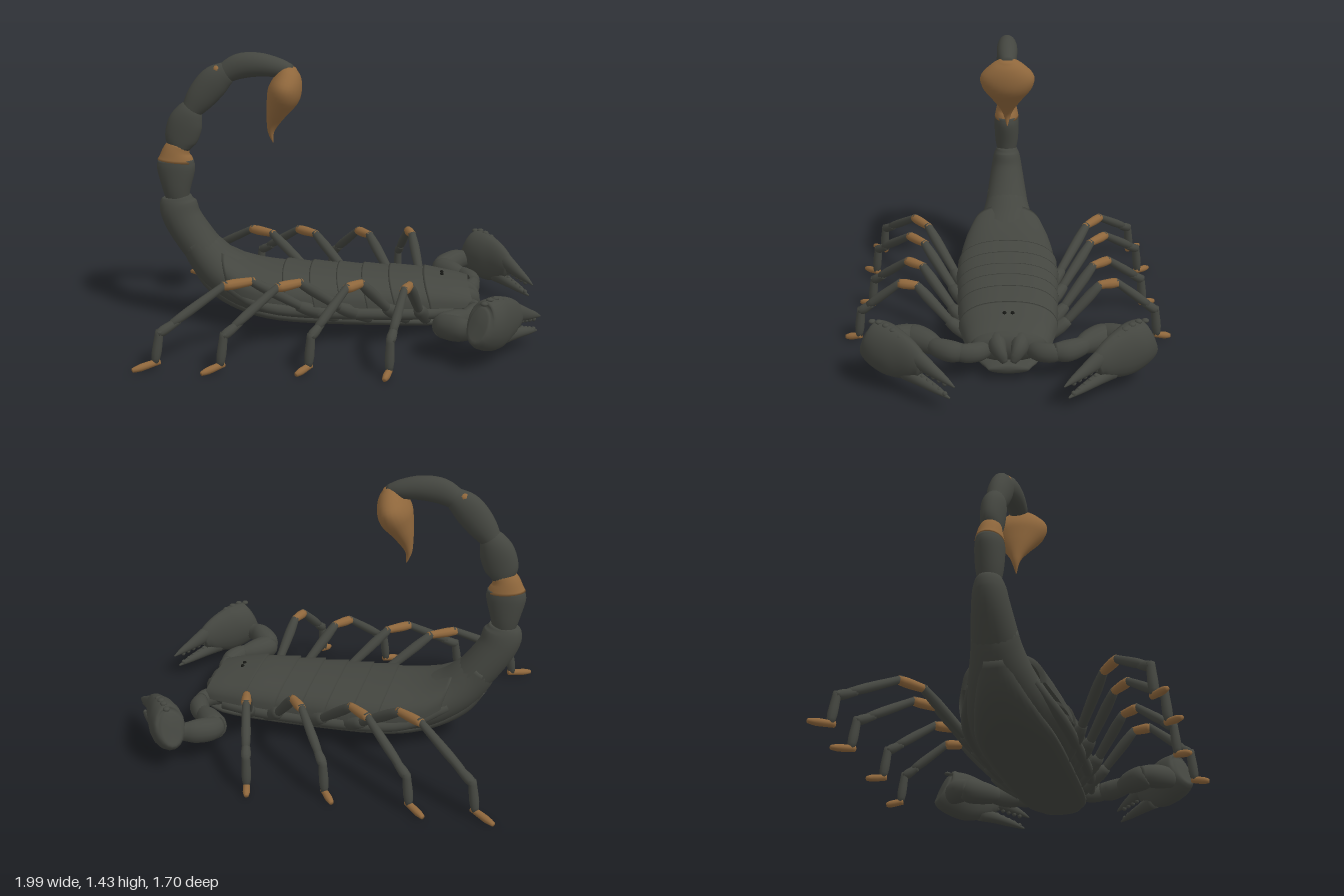
import * as THREE from 'three';

const dark = new THREE.MeshStandardMaterial({ color: 0x444640, side: THREE.DoubleSide });
dark.name = 'dark shell';
const amber = new THREE.MeshStandardMaterial({ color: 0x8f673c });
amber.name = 'amber joints';
const black = new THREE.MeshStandardMaterial({ color: 0x161714 });
black.name = 'black eyes';

const Z = new THREE.Vector3(0, 0, 1);
const UP = new THREE.Vector3(0, 1, 0);

function add(parent, name, geometry, material) {
  const mesh = new THREE.Mesh(geometry, material);
  mesh.name = name;
  parent.add(mesh);
  return mesh;
}

// Closed tube through stations [x, y, z, sideRadius, uprightRadius].
// side fixes the sideways axis; without it the axis stays horizontal.
function loft(stations, { side = null, sides = 14, sub = 4 } = {}) {
  const path = new THREE.CatmullRomCurve3(stations.map(s => new THREE.Vector3(s[0], s[1], s[2])), false, 'catmullrom', 0.5);
  const radii = new THREE.CatmullRomCurve3(stations.map(s => new THREE.Vector3(s[3], s[4], 0)), false, 'catmullrom', 0.5);
  const rings = (stations.length - 1) * sub;
  const pos = [], index = [];
  for (let i = 0; i <= rings; i++) {
    const p = path.getPoint(i / rings), r = radii.getPoint(i / rings), T = path.getTangent(i / rings);
    const S = side ? side.clone() : T.clone().cross(UP).normalize();
    const N = T.clone().cross(S).normalize();
    for (let j = 0; j < sides; j++) {
      const a = j / sides * Math.PI * 2;
      const q = p.clone().addScaledVector(S, r.x * Math.cos(a)).addScaledVector(N, r.y * Math.sin(a));
      pos.push(q.x, q.y, q.z);
      if (i < rings) {
        const k = i * sides + j, n = i * sides + (j + 1) % sides;
        index.push(k, n, n + sides, k, n + sides, k + sides);
      }
    }
  }
  const first = pos.length / 3, last = rings * sides;
  pos.push(...path.getPoint(0).toArray(), ...path.getPoint(1).toArray());
  for (let j = 0; j < sides; j++) {
    const n = (j + 1) % sides;
    index.push(first, n, j, first + 1, last + j, last + n);
  }
  const g = new THREE.BufferGeometry();
  g.setAttribute('position', new THREE.Float32BufferAttribute(pos, 3));
  g.setIndex(index);
  g.computeVertexNormals();
  return g;
}

// Loft in the middle plane from [x, y, sideRadius, uprightRadius]
const midLoft = (rows, sides = 20) => loft(rows.map(([x, y, w, h]) => [x, y, 0, w, h]), { side: Z, sides });

// Back outline: [x, edge height, half width, rise]
const BACK = [[0.66, 0.16, 0.19, 0.085], [0.6, 0.16, 0.21, 0.1], [0.42, 0.165, 0.24, 0.12], [0, 0.165, 0.26, 0.128],
  [-0.2, 0.17, 0.268, 0.13], [-0.42, 0.18, 0.255, 0.135], [-0.55, 0.21, 0.225, 0.14], [-0.68, 0.29, 0.155, 0.135]];
function backAt(x) {
  let i = 0;
  while (i < BACK.length - 2 && x < BACK[i + 1][0]) i++;
  const a = BACK[i], b = BACK[i + 1], t = (x - a[0]) / (b[0] - a[0]);
  return a.map((v, k) => v + (b[k] - v) * t);
}

// Arched back plate whose raised rear lip overlaps the next plate
function backPlate(x0, x1, bow0) {
  const nu = 20, rows = [0, 0.25, 0.5, 0.75, 0.95, 1, 1], pos = [], index = [];
  rows.forEach((t, i) => {
    const [, edge, w, h] = backAt(x0 + (x1 - x0) * t);
    const lift = i === rows.length - 1 ? -0.012 : 0.001 + 0.011 * t;
    for (let j = 0; j <= nu; j++) {
      const a = j / nu * Math.PI, c = Math.cos(a), s = Math.max(0, Math.sin(a));
      const x = x0 + (x1 - x0) * t - (bow0 + (0.04 - bow0) * t) * s;
      pos.push(x, edge + (h + lift) * Math.pow(s, 0.8), (w + lift) * Math.sign(c) * Math.pow(Math.abs(c), 0.85));
      if (i < rows.length - 1 && j < nu) {
        const k = i * (nu + 1) + j;
        index.push(k, k + 1, k + nu + 2, k, k + nu + 2, k + nu + 1);
      }
    }
  });
  const g = new THREE.BufferGeometry();
  g.setAttribute('position', new THREE.Float32BufferAttribute(pos, 3));
  g.setIndex(index);
  g.computeVertexNormals();
  return g;
}

function ball(parent, name, material, x, y, z, rx, ry = rx, rz = rx) {
  const m = add(parent, name, new THREE.SphereGeometry(1, 12, 8), material);
  m.position.set(x, y, z);
  m.scale.set(rx, ry, rz);
}

function makeBody() {
  const g = new THREE.Group();
  g.name = 'body';
  add(g, 'trunk', midLoft([[0.62, 0.15, 0.17, 0.07], [0.4, 0.15, 0.22, 0.105], [0, 0.155, 0.245, 0.11], [-0.3, 0.165, 0.245, 0.118],
    [-0.5, 0.195, 0.215, 0.125], [-0.65, 0.27, 0.165, 0.12], [-0.75, 0.37, 0.125, 0.108], [-0.8, 0.44, 0.11, 0.09]], 28), dark);
  add(g, 'belly', midLoft([[0.67, 0.06, 0.1, 0.022], [0.5, 0.062, 0.17, 0.04], [0, 0.07, 0.195, 0.053], [-0.35, 0.085, 0.195, 0.054],
    [-0.55, 0.13, 0.16, 0.06], [-0.7, 0.21, 0.11, 0.06], [-0.79, 0.32, 0.07, 0.05]], 28), dark);
  const ends = [0.655, 0.43, 0.25, 0.11, -0.02, -0.16, -0.3, -0.62];
  for (let i = 0; i < ends.length - 1; i++)
    add(g, i ? 'backPlate' : 'headShield', backPlate(ends[i] + (i ? 0.015 : 0), ends[i + 1], i ? 0.04 : 0.03), dark);
  for (const s of [1, -1]) {
    // Soft side fold, mouth pincer and eye
    add(g, 'sideFold', loft([[0.55, 0.125, s * 0.19, 0.02, 0.025], [0.3, 0.125, s * 0.225, 0.03, 0.03], [-0.2, 0.13, s * 0.24, 0.03, 0.03],
      [-0.45, 0.16, s * 0.22, 0.03, 0.03], [-0.65, 0.25, s * 0.15, 0.02, 0.025]]), dark);
    add(g, 'mouthPincer', loft([[0.55, 0.17, s * 0.06, 0.045, 0.05], [0.62, 0.165, s * 0.055, 0.045, 0.055],
      [0.66, 0.14, s * 0.04, 0.03, 0.04], [0.675, 0.1, s * 0.02, 0.012, 0.015]]), dark);
    ball(g, 'eye', black, 0.49, 0.278, s * 0.02, 0.01);
  }
  return g;
}

function makeTail() {
  const g = new THREE.Group();
  g.name = 'tail';
  const segments = [
    [[-0.73, 0.35, 0.125, 0.1], [-0.8, 0.44, 0.11, 0.1], [-0.87, 0.55, 0.09, 0.1], [-0.895, 0.63, 0.075, 0.1], [-0.9, 0.675, 0.055, 0.075]],
    [[-0.895, 0.64, 0.05, 0.055], [-0.9, 0.72, 0.065, 0.075], [-0.9, 0.82, 0.07, 0.1], [-0.9, 0.87, 0.066, 0.094]],
    [[-0.88, 0.93, 0.048, 0.055], [-0.87, 0.98, 0.055, 0.085], [-0.845, 1.06, 0.06, 0.09], [-0.82, 1.12, 0.055, 0.07], [-0.8, 1.16, 0.038, 0.045]],
    [[-0.82, 1.12, 0.045, 0.05], [-0.76, 1.2, 0.055, 0.075], [-0.69, 1.28, 0.055, 0.08], [-0.63, 1.325, 0.045, 0.06], [-0.6, 1.34, 0.035, 0.045]],
    [[-0.65, 1.315, 0.04, 0.05], [-0.56, 1.36, 0.05, 0.065], [-0.46, 1.37, 0.055, 0.062], [-0.36, 1.355, 0.05, 0.05], [-0.29, 1.335, 0.035, 0.035]],
  ];
  for (const rows of segments) add(g, 'tailSegment', midLoft(rows), dark);
  add(g, 'tailRing', midLoft([[-0.9, 0.862, 0.069, 0.097], [-0.895, 0.91, 0.06, 0.075], [-0.88, 0.95, 0.05, 0.057]]), amber);
  // Amber patches on the outer side of the joints
  for (const [x, y] of [[-0.935, 0.69], [-0.84, 1.145], [-0.67, 1.345]]) ball(g, 'jointPatch', amber, x, y, 0, 0.03, 0.025, 0.042);
  add(g, 'stinger', midLoft([[-0.29, 1.36, 0.03, 0.025], [-0.3, 1.33, 0.085, 0.055], [-0.315, 1.27, 0.14, 0.08], [-0.335, 1.21, 0.135, 0.085],
    [-0.365, 1.14, 0.088, 0.06], [-0.39, 1.07, 0.04, 0.033], [-0.4, 1.02, 0.018, 0.016], [-0.39, 0.965, 0.002, 0.002]], 24), amber);
  return g;
}

// Leg profile pieces: from [t, y] to [t, y], start, middle and end radius
const LEG = [
  ['thigh', [0, 0.085], [0.2, 0.18], 0.03, 0.036, 0.026, dark],
  ['upperLeg', [0.17, 0.165], [0.44, 0.36], 0.022, 0.028, 0.021, dark],
  ['knee', [0.42, 0.355], [0.57, 0.355], 0.02, 0.026, 0.022, amber],
  ['shin', [0.55, 0.365], [0.81, 0.212], 0.019, 0.024, 0.02, dark],
  ['ankle', [0.78, 0.222], [0.88, 0.17], 0.018, 0.025, 0.02, dark],
  ['lowerLeg', [0.87, 0.19], [0.895, 0.03], 0.02, 0.024, 0.017, dark],
  ['foot', [0.875, 0.033], [1, 0.012], 0.016, 0.018, 0.011, amber],
];
function makeLeg(rx, fx, fz, s) {
  const g = new THREE.Group();
  g.name = 'leg';
  const rz = 0.17, side = new THREE.Vector3(-(fz - rz) * s, 0, fx - rx).normalize();
  const at = (t, y, r) => [rx + (fx - rx) * t, y, s * (rz + (fz - rz) * t), r, r];
  for (const [name, a, b, r0, r1, r2, mat] of LEG) {
    const mid = k => [a[0] + (b[0] - a[0]) * k, a[1] + (b[1] - a[1]) * k];
    add(g, name, loft([at(...a, r0), at(...mid(0.3), (r0 + r1) / 2), at(...mid(0.7), r1), at(...b, r2)], { side, sides: 10, sub: 2 }), mat);
  }
  return g;
}

function makeClaw(s) {
  const g = new THREE.Group();
  g.name = 'clawArm';
  const arm = rows => loft(rows.map(([x, y, z, w, h]) => [x, y, s * z, w, h]));
  add(g, 'armBase', arm([[0.56, 0.13, 0.1, 0.04, 0.045], [0.635, 0.14, 0.15, 0.045, 0.05], [0.66, 0.145, 0.21, 0.04, 0.05], [0.655, 0.15, 0.26, 0.035, 0.04]]), dark);
  add(g, 'upperArm', arm([[0.66, 0.15, 0.22, 0.035, 0.045], [0.65, 0.15, 0.28, 0.052, 0.055], [0.62, 0.155, 0.345, 0.045, 0.05], [0.59, 0.155, 0.38, 0.035, 0.04]]), dark);
  add(g, 'elbow', arm([[0.62, 0.155, 0.34, 0.035, 0.04], [0.56, 0.155, 0.4, 0.058, 0.06], [0.505, 0.155, 0.47, 0.066, 0.066], [0.49, 0.16, 0.51, 0.045, 0.05]]), dark);
  add(g, 'forearm', arm([[0.48, 0.16, 0.46, 0.045, 0.05], [0.515, 0.165, 0.52, 0.062, 0.062], [0.57, 0.175, 0.575, 0.055, 0.062], [0.62, 0.18, 0.6, 0.04, 0.05], [0.68, 0.19, 0.62, 0.035, 0.045]]), dark);

  // Hand and fingers lie along one upright plane; rows are [u, y, thickness, half height]
  const dx = 0.607, dz = -0.775;
  const at = (u, off = 0) => [0.69 + dx * u - dz * off, s * (0.635 + dz * u + dx * off)];
  const side = new THREE.Vector3(-dz, 0, dx * s);
  const hand = rows => loft(rows.map(([u, y, w, h]) => { const [x, z] = at(u); return [x, y, z, w, h]; }), { side, sides: 18 });
  add(g, 'hand', hand([[-0.055, 0.235, 0.05, 0.08], [-0.03, 0.225, 0.08, 0.115], [0.03, 0.215, 0.088, 0.13], [0.1, 0.205, 0.078, 0.133],
    [0.18, 0.2, 0.058, 0.115], [0.25, 0.19, 0.042, 0.085], [0.29, 0.175, 0.028, 0.05]]), dark);
  add(g, 'upperFinger', hand([[0.2, 0.23, 0.04, 0.06], [0.28, 0.21, 0.034, 0.046], [0.37, 0.18, 0.025, 0.03], [0.44, 0.158, 0.015, 0.017], [0.49, 0.14, 0.003, 0.004]]), dark);
  add(g, 'lowerFinger', hand([[0.18, 0.125, 0.035, 0.045], [0.28, 0.108, 0.03, 0.03], [0.38, 0.09, 0.02, 0.02], [0.46, 0.072, 0.004, 0.005]]), dark);
  // Teeth along both fingers and knobs along the hand's crest
  for (let i = 0; i < 5; i++) {
    const u = 0.29 + i * 0.035, [x, z] = at(u);
    ball(g, 'tooth', dark, x, 0.165 - i * 0.006, z, 0.012, 0.014);
    ball(g, 'tooth', dark, x, 0.13 - i * 0.011, z, 0.012, 0.013);
  }
  for (let i = 0; i < 7; i++) {
    const [x, z] = at(-0.02 + i * 0.045, 0.01);
    ball(g, 'handKnob', dark, x, [0.332, 0.342, 0.338, 0.327, 0.308, 0.278, 0.256][i], z, 0.018, 0.011);
  }
  return g;
}

export function createModel() {
  const model = new THREE.Group();
  model.name = 'scorpion';
  model.add(makeBody(), makeTail());
  for (const s of [1, -1]) {
    // Legs: root x, foot x, foot z
    for (const [rx, fx, fz] of [[-0.05, -0.985, 0.8], [0.12, -0.65, 0.82], [0.31, -0.2, 0.805], [0.41, 0.22, 0.845]])
      model.add(makeLeg(rx, fx, fz, s));
    model.add(makeClaw(s));
  }
  return model;
}
